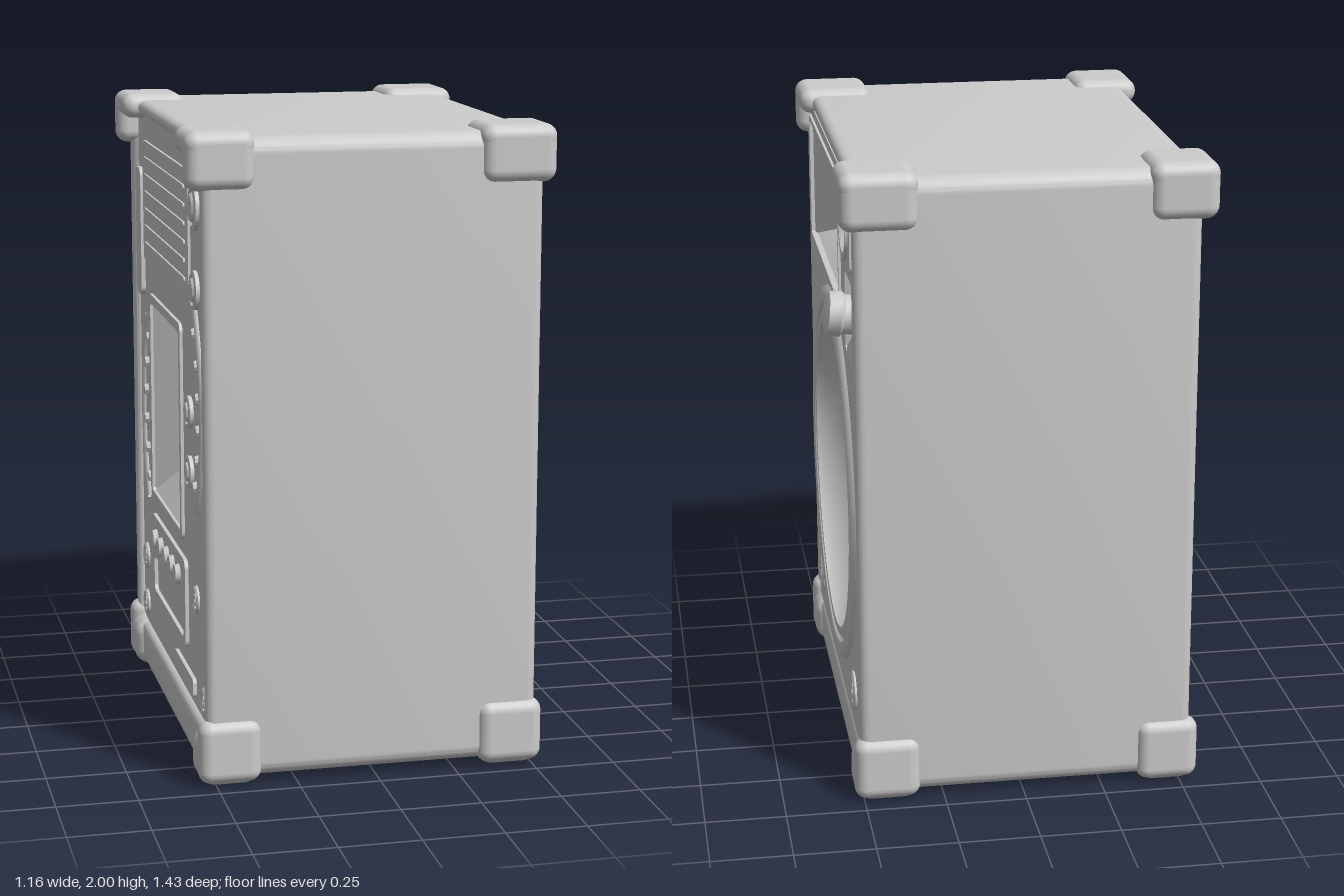
import * as THREE from 'three';
import { toCreasedNormals } from 'three/addons/utils/BufferGeometryUtils.js';
import { RoundedBoxGeometry } from 'three/addons/geometries/RoundedBoxGeometry.js';

const grey = new THREE.MeshStandardMaterial({ color: 0xcccccc, side: THREE.DoubleSide });
grey.name = 'plain grey';

function add(parent, name, geometry, x = 0, y = 0, z = 0) {
  const mesh = new THREE.Mesh(geometry, grey);
  mesh.name = name;
  mesh.position.set(x, y, z);
  parent.add(mesh);
  return mesh;
}

// Rounded rectangle outline, usable as a shape or as a hole
function rect(u0, u1, y0, y1, r = 0.01, Kind = THREE.Shape) {
  const p = new Kind();
  p.absarc(u1 - r, y0 + r, r, -Math.PI / 2, 0);
  p.absarc(u1 - r, y1 - r, r, 0, Math.PI / 2);
  p.absarc(u0 + r, y1 - r, r, Math.PI / 2, Math.PI);
  p.absarc(u0 + r, y0 + r, r, Math.PI, Math.PI * 1.5);
  p.closePath();
  return p;
}

function circleHole(u, y, r) {
  return new THREE.Path().absarc(u, y, r, 0, Math.PI * 2);
}

// Flat plate whose outer face lies at z = face
function plate(parent, name, shape, face, depth) {
  const g = new THREE.ExtrudeGeometry(shape, { depth, bevelEnabled: false, curveSegments: 24 });
  return add(parent, name, g, 0, 0, face - depth);
}

// Round part turned about the outward axis, profile given as [radius, height]
function turned(parent, name, profile, u, y, z, sides = 24) {
  const g = new THREE.LatheGeometry(profile.map(p => new THREE.Vector2(...p)), sides).rotateX(Math.PI / 2);
  return add(parent, name, toCreasedNormals(g, 0.7), u, y, z);
}

// Rectangular funnel through loops [u0, u1, y0, y1, z], closed at the last one
function funnel(parent, name, loops) {
  const v = [], index = [];
  loops.forEach(([a, b, c, d, z]) => v.push(a, c, z, b, c, z, b, d, z, a, d, z));
  for (let i = 0; i < loops.length - 1; i++) for (let k = 0; k < 4; k++) {
    const a = i * 4 + k, b = i * 4 + (k + 1) % 4;
    index.push(a, b, b + 4, a, b + 4, a + 4);
  }
  const n = v.length / 3 - 4;
  index.push(n, n + 1, n + 2, n, n + 2, n + 3);
  const g = new THREE.BufferGeometry();
  g.setAttribute('position', new THREE.Float32BufferAttribute(v, 3));
  g.setIndex(index);
  return add(parent, name, toCreasedNormals(g, 0.6));
}

function screw(parent, name, u, y, z, r) {
  turned(parent, name, [[r, -0.01], [r, 0.006], [r * 0.85, 0.012], [r * 0.65, 0.008], [r * 0.6, -0.005], [0, -0.005]], u, y, z);
  turned(parent, name + 'Core', [[r * 0.5, -0.01], [r * 0.45, 0.01], [r * 0.2, 0.01], [r * 0.15, 0], [0, 0]], u, y, z, 6);
}

function buildFront(front) {
  const F = 0.505;
  // Front board with openings
  const board = rect(-0.635, 0.635, 0.16, 1.93, 0.02);
  board.holes.push(
    rect(-0.59, 0.29, 1.49, 1.89, 0.005, THREE.Path),
    circleHole(0, 0.845, 0.54),
    circleHole(0.47, 1.79, 0.08),
    rect(0.4, 0.59, 1.385, 1.64, 0.02, THREE.Path));
  plate(front, 'frontBoard', board, F, 0.05);

  // Horn
  const lip = rect(-0.6, 0.3, 1.48, 1.9, 0.008);
  lip.holes.push(rect(-0.582, 0.282, 1.498, 1.882, 0.005, THREE.Path));
  plate(front, 'hornFrame', lip, F + 0.008, 0.02);
  funnel(front, 'horn', [
    [-0.59, 0.29, 1.49, 1.89, F],
    [-0.45, 0.16, 1.54, 1.84, F - 0.07],
    [-0.32, 0.02, 1.59, 1.79, F - 0.18]]);
  turned(front, 'hornThroat', [[0.085, 0], [0.085, 0.03], [0.07, 0.035], [0.06, 0.015], [0.03, 0.03], [0, 0.035]],
    -0.15, 1.69, F - 0.18);

  // Woofer: rim, surround, cone and dust cap
  turned(front, 'woofer', [
    [0.615, -0.01], [0.605, 0.008], [0.58, 0.018], [0.555, 0.014], [0.545, 0.002], [0.53, 0.012], [0.505, 0.012],
    [0.495, -0.02], [0.42, -0.085], [0.3, -0.155], [0.2, -0.195], [0.14, -0.205],
    [0.115, -0.175], [0.07, -0.15], [0, -0.14]], 0, 0.845, F, 48);

  // Tweeter plate and ring
  const tweeter = rect(0.34, 0.61, 1.68, 1.9, 0.02);
  tweeter.holes.push(circleHole(0.47, 1.79, 0.08));
  plate(front, 'tweeterPlate', tweeter, F + 0.006, 0.02);
  turned(front, 'tweeter', [[0.105, 0], [0.1, 0.014], [0.08, 0.014], [0.066, -0.01], [0.06, -0.06], [0, -0.06]], 0.47, 1.79, F);

  // Knob in a shallow pocket
  funnel(front, 'knobPocket', [[0.4, 0.59, 1.385, 1.64, F], [0.41, 0.58, 1.44, 1.63, F - 0.025]]);
  const knob = turned(front, 'knob', [[0.06, 0], [0.06, 0.04], [0.07, 0.05], [0.066, 0.088], [0.045, 0.097], [0, 0.097]],
    0.49, 1.52, F - 0.025, 16);
  knob.rotation.x = -0.12;

  for (const u of [-0.495, 0.495]) screw(front, 'frontScrew', u, 0.29, F, 0.063);
}

function buildBack(back) {
  const B = 0.508;
  // Amplifier board with a central recess
  const board = rect(-0.635, 0.635, 0.16, 1.93, 0.03);
  board.holes.push(rect(-0.37, 0.18, 0.68, 1.32, 0.01, THREE.Path));
  plate(back, 'rearBoard', board, B, 0.05);
  funnel(back, 'rearRecess', [[-0.37, 0.18, 0.68, 1.32, B], [-0.31, 0.12, 0.76, 1.27, B - 0.08]]);
  const frame = rect(-0.4, 0.21, 0.65, 1.35, 0.03);
  frame.holes.push(rect(-0.37, 0.18, 0.68, 1.32, 0.01, THREE.Path));
  plate(back, 'recessFrame', frame, B + 0.01, 0.02);

  // Label plate with cooling ribs
  plate(back, 'ventPlate', rect(-0.5, 0.37, 1.45, 1.85, 0.02), B + 0.008, 0.02);
  for (let i = 0; i < 6; i++) plate(back, 'ventRib', rect(-0.45, 0.32, 1.5 + i * 0.057, 1.515 + i * 0.057, 0.006), B + 0.014, 0.012);
  plate(back, 'sideBlock', rect(-0.62, -0.52, 1.32, 1.75, 0.03), B + 0.014, 0.03);

  // Socket tray with a row of knobs
  const tray = rect(-0.38, 0.27, 0.31, 0.6, 0.03);
  tray.holes.push(rect(-0.34, 0.23, 0.34, 0.46, 0.02, THREE.Path));
  plate(back, 'socketTray', tray, B + 0.012, 0.02);
  for (let i = 0; i < 5; i++)
    turned(back, 'trayKnob', [[0.035, 0], [0.03, 0.02], [0, 0.02]], -0.28 + i * 0.11, 0.53, B + 0.008, 12);

  // Curved trims with small studs
  for (const s of [-1, 1]) {
    const arc = new THREE.TorusGeometry(0.56, 0.014, 6, 20, 1.2).rotateZ(s > 0 ? -0.6 : Math.PI - 0.6);
    add(back, 'curvedTrim', arc, 0, s > 0 ? 1.12 : 0.95, B);
    for (let i = 0; i < 6; i++) {
      const a = -0.5 + i * 0.2;
      turned(back, 'trimStud', [[0.02, 0], [0.016, 0.014], [0, 0.014]],
        s * 0.5 * Math.cos(a), (s > 0 ? 1.12 : 0.95) + 0.5 * Math.sin(a), B, 8);
    }
  }

  // Dials and screws
  for (const [u, y, r] of [[0.47, 1.75, 0.07], [0.47, 1.5, 0.06], [0.35, 1.1, 0.05], [0.35, 0.91, 0.05]])
    turned(back, 'dial', [[r, 0], [r, 0.012], [r * 0.8, 0.016], [r * 0.7, 0.008], [r * 0.55, 0.02], [0, 0.02]], u, y, B);
  for (const [u, y] of [[0.43, 0.52], [-0.55, 0.4], [-0.56, 0.23], [0.56, 0.23]]) screw(back, 'rearScrew', u, y, B, 0.045);
  plate(back, 'lowerStrip', rect(0.05, 0.4, 0.19, 0.25, 0.015), B + 0.012, 0.02);
}

export function createModel() {
  const model = new THREE.Group();
  model.name = 'speaker';

  // Cabinet shell, open at the two faces
  const front = new THREE.Group();
  front.name = 'frontFace';
  front.rotation.y = Math.PI / 2;
  const back = new THREE.Group();
  back.name = 'rearFace';
  back.rotation.y = -Math.PI / 2;
  model.add(front, back);
  const outline = rect(-0.695, 0.695, 0.02, 1.98, 0.05);
  outline.holes.push(rect(-0.635, 0.635, 0.16, 1.93, 0.02, THREE.Path));
  const shell = new THREE.ExtrudeGeometry(outline, {
    depth: 0.98, bevelThickness: 0.03, bevelSize: 0.025, bevelOffset: -0.025, bevelSegments: 4, curveSegments: 6 });
  add(front, 'cabinet', toCreasedNormals(shell, 0.7), 0, 0, -0.5);

  buildFront(front);
  buildBack(back);

  // Corner protectors: a horizontal bar plus an upright bar at every corner
  const bar = (x0, x1, y0, y1, z0, z1, r) => add(model, 'cornerProtector',
    new RoundedBoxGeometry(x1 - x0, y1 - y0, Math.abs(z1 - z0), 4, r),
    (x0 + x1) / 2, (y0 + y1) / 2, (z0 + z1) / 2);
  for (const s of [-1, 1]) {
    for (const [x0, x1] of [[-0.58, -0.37], [0.315, 0.55]]) {
      bar(x0, x1, 1.92, 2, s * 0.485, s * 0.715, 0.038);
      bar(x0, x1, 1.825, 1.995, s * 0.63, s * 0.715, 0.04);
    }
    for (const [x0, x1] of [[-0.555, -0.36], [0.325, 0.53]]) {
      bar(x0, x1, 0, 0.165, s * 0.535, s * 0.715, 0.055);
      bar(x0, x1, 0.01, 0.21, s * 0.635, s * 0.715, 0.038);
    }
  }
  return model;
}
